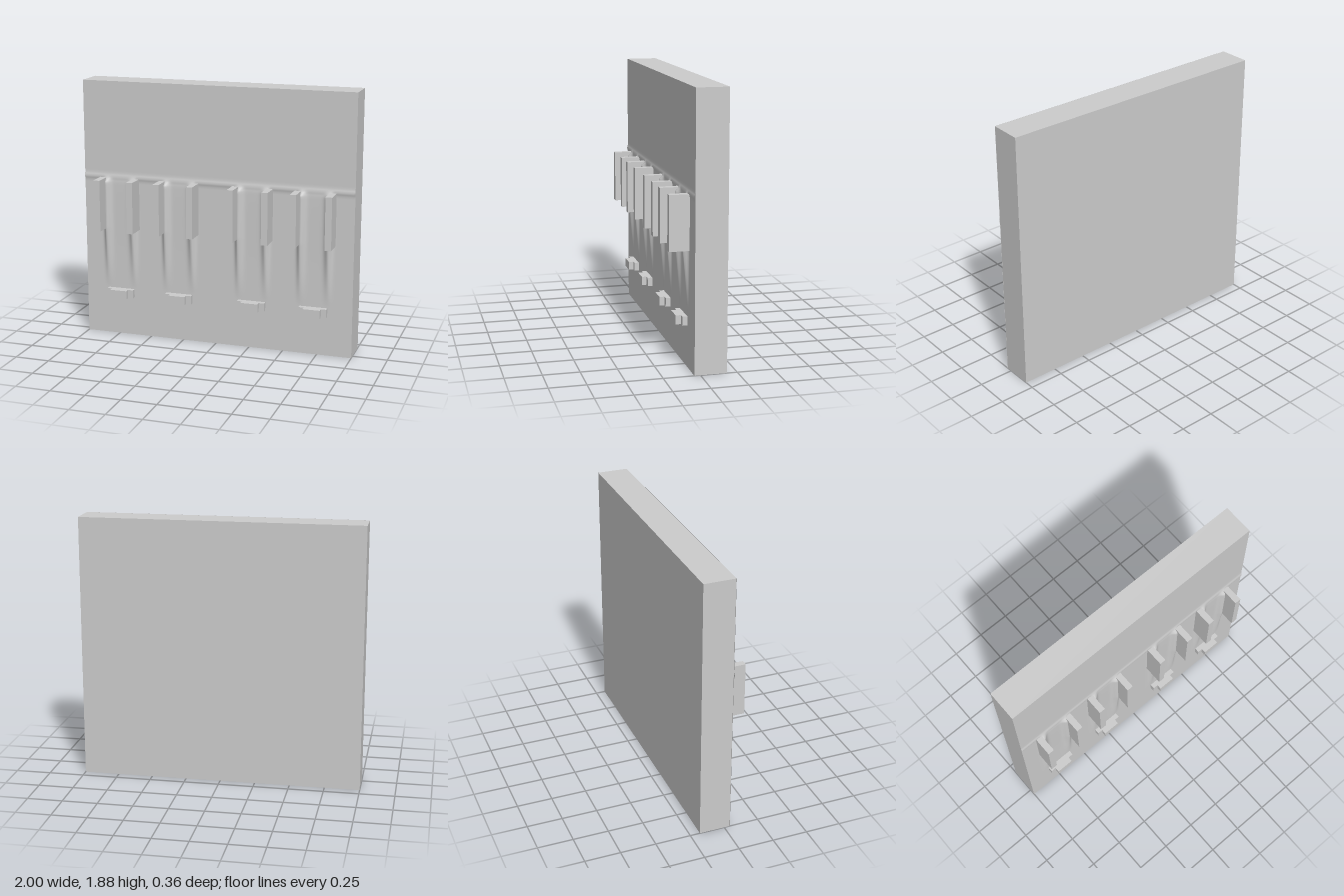
import * as THREE from 'three';

const FRONT = 0.04;                       // front plane of the slab
const CENTRES = [-0.729, -0.278, 0.27, 0.722];
const FIN_W = 0.046, FIN_OFF = 0.125, FIN_LOW = 0.805, FIN_TOP = 1.18;

const material = new THREE.MeshStandardMaterial({ color: 0xcccccc });
const skinMaterial = new THREE.MeshStandardMaterial({ color: 0xcccccc, side: THREE.DoubleSide });

// Box given by its limits on each axis
function block(name, x0, x1, y0, y1, z0, z1) {
  const mesh = new THREE.Mesh(new THREE.BoxGeometry(x1 - x0, y1 - y0, z1 - z0), material);
  mesh.position.set((x0 + x1) / 2, (y0 + y1) / 2, (z0 + z1) / 2);
  mesh.name = name;
  return mesh;
}

const smooth = THREE.MathUtils.smoothstep;

// Relief of the front skin: a crease above the fins and soft webs inside each pair
function relief(x, y) {
  let h = 0.002 + 0.008 * Math.exp(-(((y - 1.185) / 0.014) ** 2));
  const above = 1 - smooth(y, 1.15, 1.185);
  const below = y > FIN_LOW ? 1 : Math.max(0, (y - 0.36) / (FIN_LOW - 0.36));
  for (const c of CENTRES) {
    const inside = FIN_OFF - FIN_W / 2 - Math.abs(x - c);   // distance inward from the fin
    if (inside < -FIN_W) continue;
    const width = inside < 0 ? 0.018 : 0.026;
    h += 0.036 * Math.exp(-((inside / width) ** 2)) * above * below ** 1.2;
    if (inside > 0) h += 0.008 * smooth(inside, 0, 0.03) * above * smooth(y, 0.6, 1.15);
  }
  return h;
}

function frontSkin() {
  const geo = new THREE.PlaneGeometry(2, 1.88, 200, 130);
  geo.translate(0, 0.94, FRONT);
  const p = geo.attributes.position;
  for (let i = 0; i < p.count; i++) p.setZ(i, FRONT + relief(p.getX(i), p.getY(i)));
  geo.computeVertexNormals();
  const mesh = new THREE.Mesh(geo, skinMaterial);
  mesh.name = 'frontSkin';
  return mesh;
}

export function createModel() {
  const model = new THREE.Group();
  model.name = 'wallPanel';
  model.add(block('slab', -1, 1, 0, 1.88, -0.18, FRONT), frontSkin());

  for (const c of CENTRES) {
    // Pair of upright fins
    for (const side of [-1, 1]) {
      const x = c + side * FIN_OFF;
      model.add(block('fin', x - FIN_W / 2, x + FIN_W / 2, FIN_LOW, FIN_TOP, FRONT - 0.01, 0.18));
    }
    // Low stepped peg beneath the pair
    const peg = new THREE.Group();
    peg.name = 'peg';
    peg.add(
      block('pegBase', c - 0.1, c + 0.1, 0.288, 0.35, FRONT - 0.01, 0.077),
      block('pegFront', c - 0.063, c + 0.062, 0.288, 0.35, 0.077, 0.112));
    model.add(peg);
  }
  return model;
}
